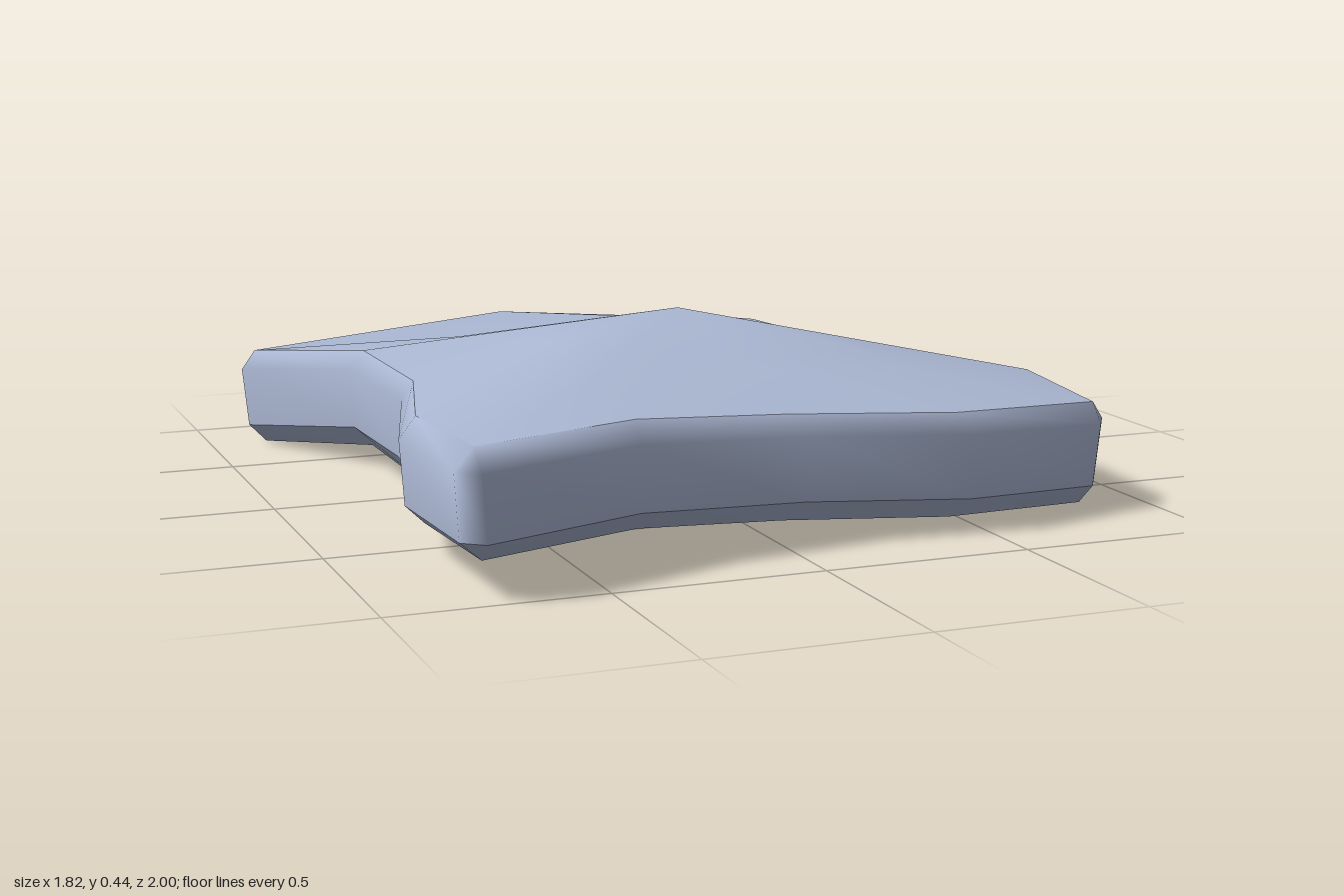
import * as THREE from 'three';
import { mergeVertices } from 'three/addons/utils/BufferGeometryUtils.js';

const THICKNESS = 0.25;

// Slab outline: outer x, outer z, face x, face z, top height
const OUTLINE = [
  [-0.11, -1.0, -0.12, -0.96, 0.295],
  [0.6, -0.78, 0.58, -0.74, 0.265],
  [0.63, -0.72, 0.58, -0.74, 0.265],
  [0.58, -0.42, 0.52, -0.4, 0.298],
  [0.6, -0.33, 0.52, -0.4, 0.298],
  [0.77, -0.03, 0.74, -0.03, 0.272],
  [0.91, 0.33, 0.87, 0.34, 0.28],
  [0.89, 0.67, 0.85, 0.69, 0.262],
  [0.85, 0.73, 0.85, 0.69, 0.262],
  [0.46, 0.83, 0.43, 0.79, 0.285],
  [0.05, 0.795, 0.01, 0.755, 0.305],
  [-0.38, 0.855, -0.37, 0.8, 0.33],
  [-0.78, 1.0, -0.78, 0.94, 0.33],
  [-0.83, 0.96, -0.78, 0.94, 0.33],
  [-0.835, 0.55, -0.79, 0.53, 0.318],
  [-0.7, 0.08, -0.67, 0.08, 0.31],
  [-0.715, -0.38, -0.675, -0.38, 0.31],
  [-0.91, -0.79, -0.87, -0.81, 0.253],
  [-0.89, -0.84, -0.87, -0.81, 0.253],
];

// Smooth surface through rings of points, each ring below or outside the last
function loft(rings) {
  const pos = [];
  const a = new THREE.Vector3(), b = new THREE.Vector3();
  const tri = (p, q, r) => {
    a.subVectors(q, p);
    b.subVectors(r, p);
    if (a.cross(b).lengthSq() < 1e-12) return;
    for (const v of [p, q, r]) pos.push(v.x, v.y, v.z);
  };
  for (let k = 0; k < rings.length - 1; k++) {
    const u = rings[k], l = rings[k + 1];
    for (let i = 0; i < u.length; i++) {
      const j = (i + 1) % u.length;
      tri(u[i], u[j], l[i]);
      tri(u[j], l[j], l[i]);
    }
  }
  const geo = new THREE.BufferGeometry();
  geo.setAttribute('position', new THREE.Float32BufferAttribute(pos, 3));
  const merged = mergeVertices(geo, 1e-4);
  merged.computeVertexNormals();
  return merged;
}

export function createModel() {
  const group = new THREE.Group();
  group.name = 'stoneSlab';
  const stone = new THREE.MeshStandardMaterial({ color: 0xacb8d4 });
  stone.name = 'blue grey stone';

  const ring = (fn) => OUTLINE.map((row) => new THREE.Vector3(...fn(row)));
  const peak = new THREE.Vector3(0.04, 0.44, 0.02);

  const topEdge = ring(([, , x, z, t]) => [x, t, z]);
  const upperSide = ring(([x, z, , , t]) => [x, t - 0.047, z]);
  const lowerSide = ring(([x, z, , , t]) => [x * 0.985, t - THICKNESS + 0.05, z * 0.99]);

  // Halfway ring, sinking faster towards the back and front than to the sides
  const topMiddle = topEdge.map((p) => {
    const m = p.clone().lerp(peak, 0.5);
    const dz = m.z - peak.z;
    m.y = Math.min(m.y, peak.y - (dz < 0 ? -0.27 : 0.185) * dz);
    return m;
  });
  const topCentre = topEdge.map(() => peak);

  // The underside follows the top face at a constant thickness
  const lower = (points) =>
    points.map((p) => new THREE.Vector3(p.x * 0.975, p.y - THICKNESS, p.z * 0.98));
  const bottomEdge = lower(topEdge);

  const add = (name, rings) => {
    const mesh = new THREE.Mesh(loft(rings), stone);
    mesh.name = name;
    group.add(mesh);
  };
  // Low domed walking surface
  add('topFace', [topCentre, topMiddle, topEdge]);
  // Side wall with a worn upper edge
  add('rim', [topEdge, upperSide, lowerSide]);
  // Chamfer under the side wall
  add('lowerChamfer', [lowerSide, bottomEdge]);
  // Hollow underside
  add('underside', [bottomEdge, lower(topMiddle), lower(topCentre)]);
  return group;
}
